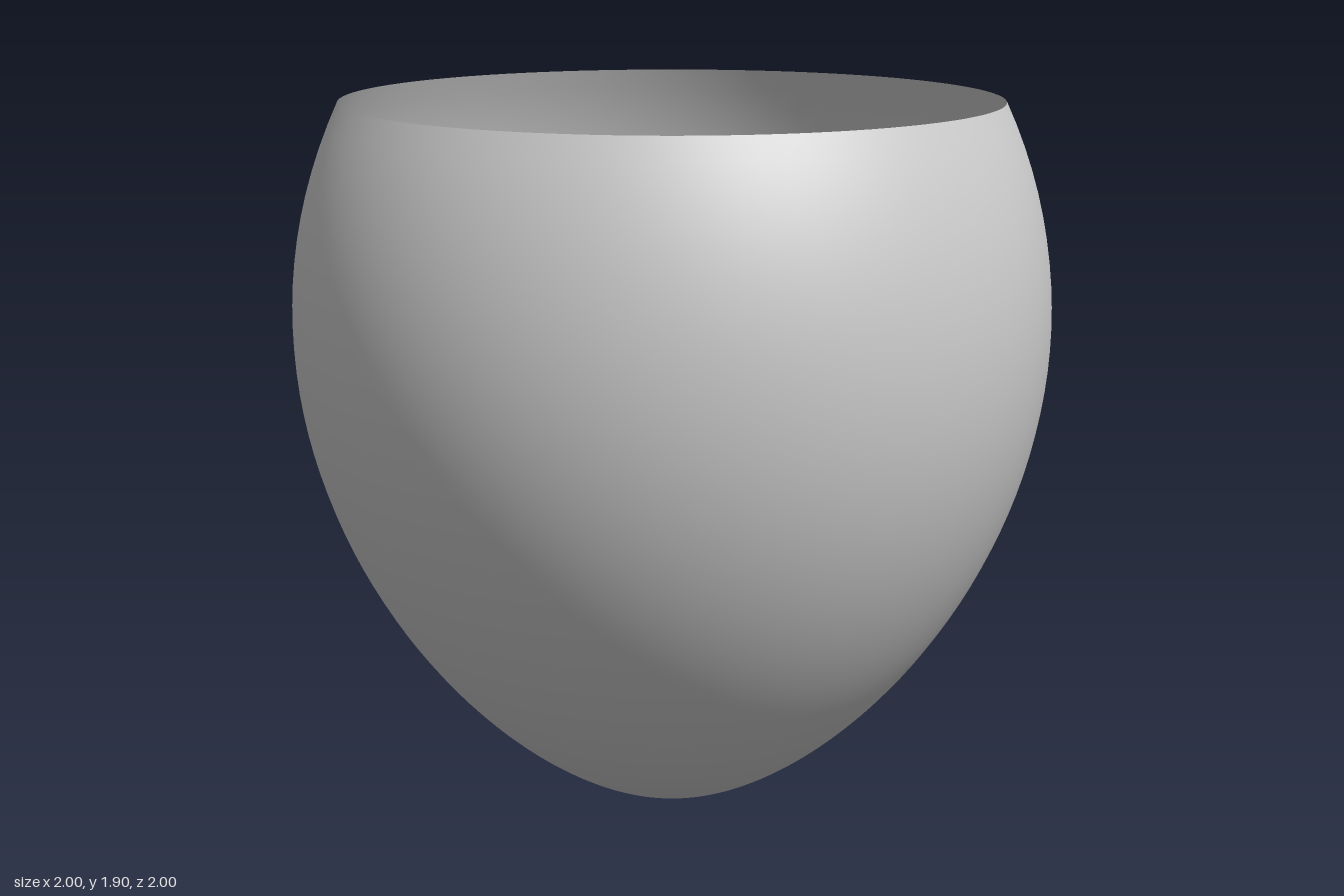
import * as THREE from 'three';

export function createModel() {
  const group = new THREE.Group();
  group.name = 'cup';

  // Egg-shaped profile: rounded tip, widest at two thirds, open rim
  const profile = new THREE.CubicBezierCurve(
    new THREE.Vector2(0, 0),
    new THREE.Vector2(0.5, 0),
    new THREE.Vector2(1.32, 0.95),
    new THREE.Vector2(0.87, 1.9)
  );

  // Thin open shell, visible from inside and outside
  const shell = new THREE.Mesh(
    new THREE.LatheGeometry(profile.getPoints(48), 96),
    new THREE.MeshStandardMaterial({ color: 0xcccccc, side: THREE.DoubleSide })
  );
  shell.name = 'shell';
  group.add(shell);

  return group;
}
